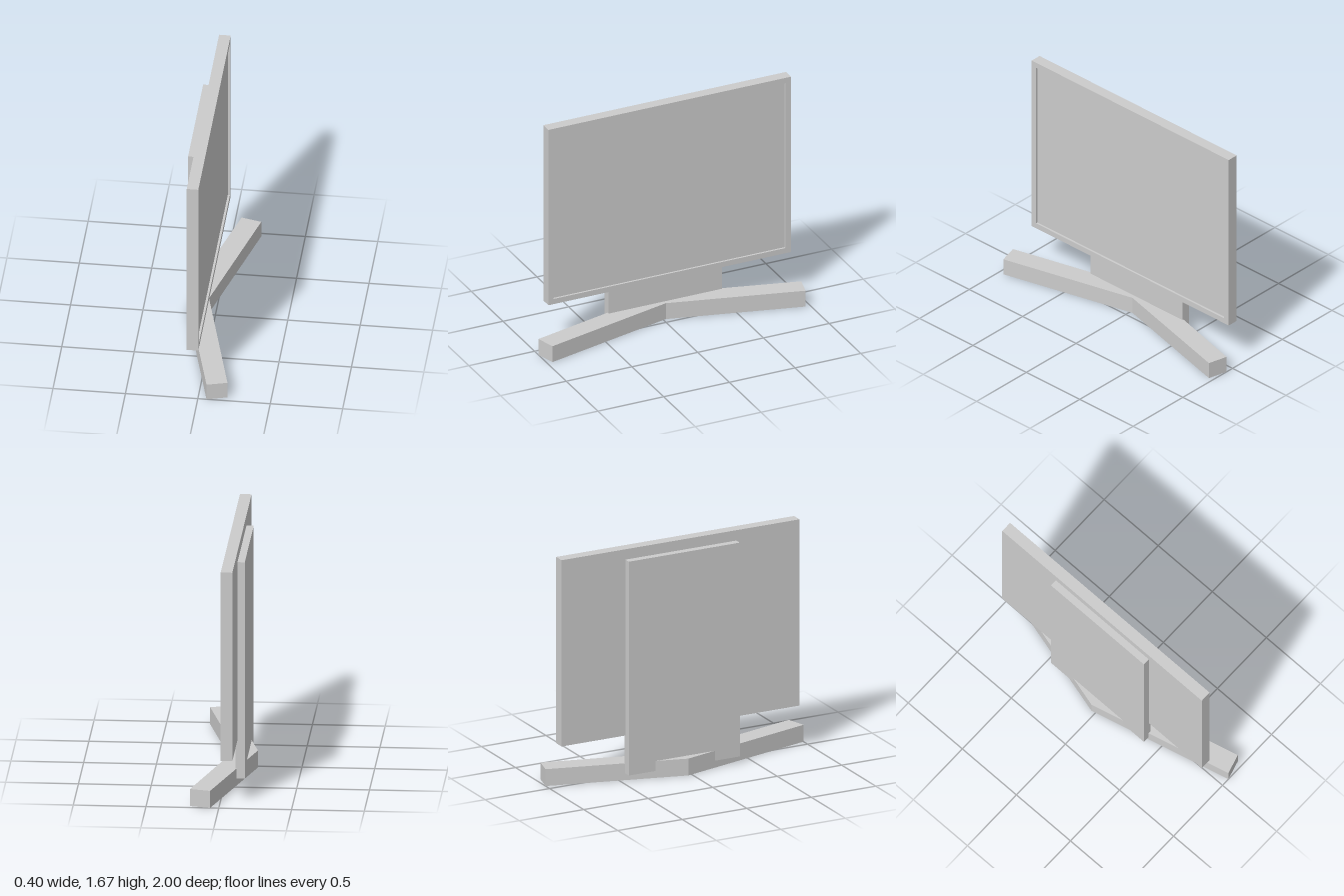
import * as THREE from 'three';

const material = new THREE.MeshStandardMaterial({ color: 0xcccccc, flatShading: true });

function addMesh(group, name, geometry) {
  const mesh = new THREE.Mesh(geometry, material);
  mesh.name = name;
  group.add(mesh);
  return mesh;
}

// Box given by its minimum and maximum corners
function addBox(group, name, min, max) {
  const size = max.map((v, i) => v - min[i]);
  const mesh = addMesh(group, name, new THREE.BoxGeometry(...size));
  mesh.position.set(...min.map((v, i) => v + size[i] / 2));
}

const outline = (points) => points.map(([a, b]) => new THREE.Vector2(a, b));

const rectangle = (z0, y0, z1, y1) =>
  outline([[-z0, y0], [-z1, y0], [-z1, y1], [-z0, y1]]);

export function createModel() {
  const group = new THREE.Group();
  const backX = -0.09, frontX = -0.01, recess = 0.015;

  // Display housing behind the recessed screen surface
  addBox(group, 'screen', [backX, 0.325, -0.955], [frontX - recess, 1.675, 0.89]);

  // Raised bezel around the screen, facing +x
  const bezel = new THREE.Shape(rectangle(0.89, 0.325, -0.955, 1.675));
  bezel.holes.push(new THREE.Path(rectangle(0.85, 0.365, -0.912, 1.635)));
  const bezelGeometry = new THREE.ExtrudeGeometry(bezel, { depth: recess, bevelEnabled: false });
  bezelGeometry.rotateY(Math.PI / 2);
  addMesh(group, 'bezel', bezelGeometry).position.x = frontX - recess;

  // Upright plate behind the display
  addBox(group, 'standPlate', [-0.14, 0.05, -0.46], [-0.075, 1.6, 0.4]);

  // V-shaped foot, drawn as [x, -z] and extruded upwards
  const foot = new THREE.Shape(outline([
    [-0.2, 0.03], [0.06, -1], [0.2, -0.96],
    [-0.046, 0.02], [0.2, 0.965], [0.06, 1],
  ]));
  const footGeometry = new THREE.ExtrudeGeometry(foot, { depth: 0.122, bevelEnabled: false });
  footGeometry.rotateX(-Math.PI / 2);
  addMesh(group, 'foot', footGeometry);

  return group;
}
